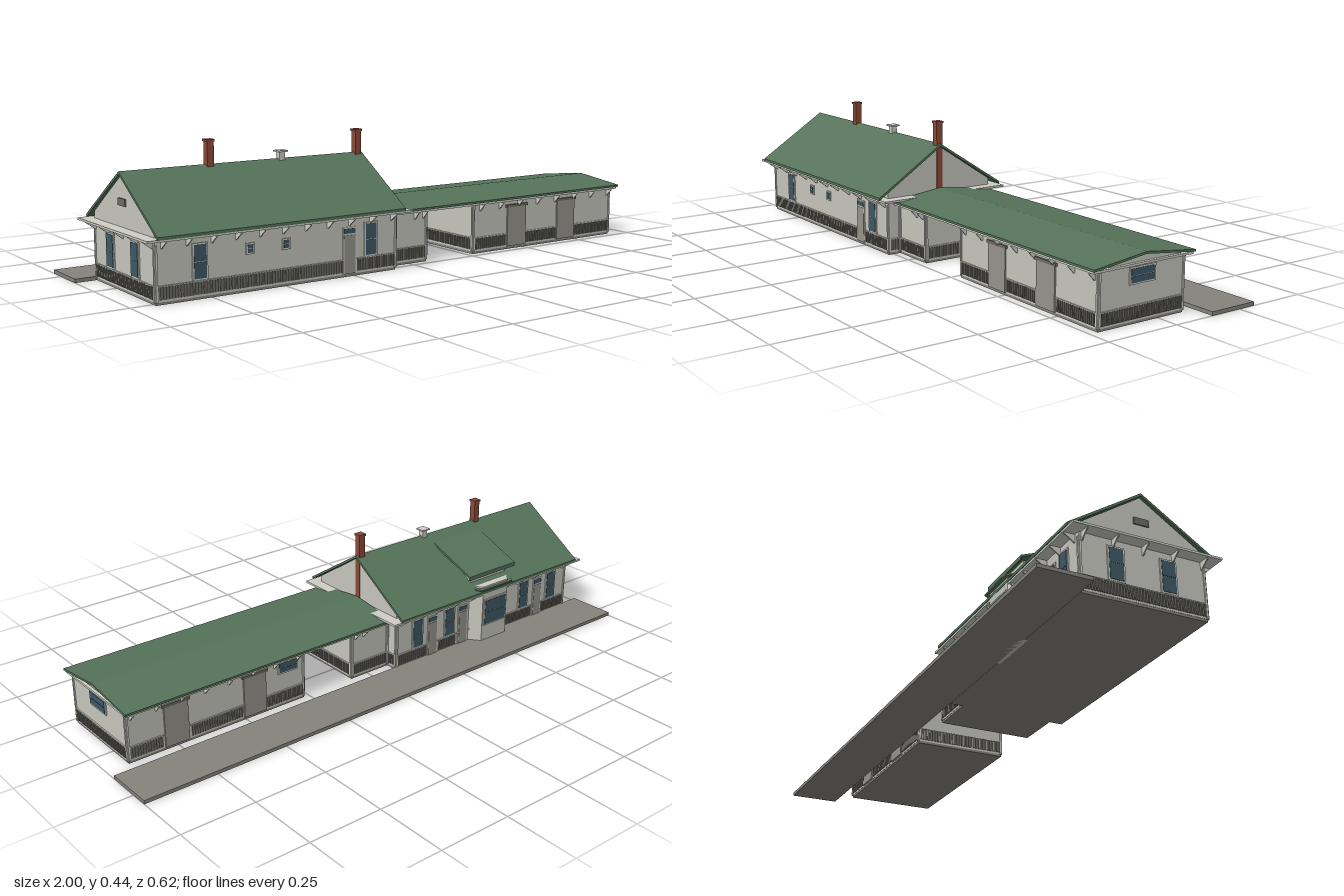
import * as THREE from 'three';
import { mergeGeometries } from 'three/addons/utils/BufferGeometryUtils.js';

const mat = (name, color) => {
  const m = new THREE.MeshStandardMaterial({ color });
  m.name = name;
  return m;
};
const wallMat = mat('wall cream', 0xc6c6bd);
const trimMat = mat('trim cream', 0xcecec6);
const roofMat = mat('roof green', 0x56735a);
const brickMat = mat('brick red', 0x8c4a38);
const stoneMat = mat('platform grey', 0x86837c);
const doorMat = mat('door grey', 0x97948b);
const boardMat = mat('wainscot grey', 0x6c6a63);
const glassMat = mat('glass blue', 0x3e5866);

const RIDGE_Z = 0.065;

function add(parent, name, geometry, material) {
  const m = new THREE.Mesh(geometry, material);
  m.name = name;
  parent.add(m);
  return m;
}

// Box given by its minimum and maximum corners
function boxGeo(x0, x1, y0, y1, z0, z1) {
  return new THREE.BoxGeometry(x1 - x0, y1 - y0, z1 - z0)
    .translate((x0 + x1) / 2, (y0 + y1) / 2, (z0 + z1) / 2);
}

// Profile of [z, y] points swept along x
function sweepX(points, x0, x1) {
  const shape = new THREE.Shape(points.map(([z, y]) => new THREE.Vector2(z, y)));
  return new THREE.ExtrudeGeometry(shape, { depth: x1 - x0, bevelEnabled: false })
    .rotateY(-Math.PI / 2).translate(x1, 0, 0);
}

// Plan of [x, z] points raised along y
function raise(points, y0, y1) {
  const shape = new THREE.Shape(points.map(([x, z]) => new THREE.Vector2(x, -z)));
  return new THREE.ExtrudeGeometry(shape, { depth: y1 - y0, bevelEnabled: false })
    .rotateX(-Math.PI / 2).translate(0, y0, 0);
}

// Solid walls with a gable at both ends
const gableWalls = (half, eave, apex, x0, x1) => sweepX([
  [RIDGE_Z - half, 0.008], [RIDGE_Z + half, 0.008], [RIDGE_Z + half, eave],
  [RIDGE_Z, apex], [RIDGE_Z - half, eave]], x0, x1);

// Two-sided roof sheet with constant vertical thickness
const gableRoof = (half, eave, apex, t, x0, x1) => sweepX([
  [RIDGE_Z + half, eave], [RIDGE_Z, apex], [RIDGE_Z - half, eave],
  [RIDGE_Z - half, eave - t], [RIDGE_Z, apex - t], [RIDGE_Z + half, eave - t]], x0, x1);

// Local frame on a wall: x along it, y up, z outwards
function wallFace(parent, name, x, z, angle) {
  const g = new THREE.Group();
  g.name = name;
  g.position.set(x, 0, z);
  g.rotation.y = angle;
  parent.add(g);
  return g;
}

// Vertical boards along the foot of a wall, interrupted at the gaps
function wainscot(face, x0, x1, gaps = []) {
  const boards = [];
  const n = Math.round((x1 - x0) / 0.0092);
  const step = (x1 - x0) / n;
  for (let i = 0; i < n; i++) {
    const c = x0 + (i + 0.5) * step;
    if (gaps.some(([gx, w]) => Math.abs(c - gx) < w / 2 + 0.003)) continue;
    boards.push(boxGeo(c - step * 0.34, c + step * 0.34, 0.015, 0.053, 0, 0.003));
  }
  add(face, 'wainscotBoards', mergeGeometries(boards), boardMat);
  add(face, 'wainscotRail', boxGeo(x0, x1, 0.053, 0.056, 0, 0.004), trimMat);
  for (const c of [x0, x1]) {
    add(face, 'cornerPost', boxGeo(c - 0.003, c + 0.003, 0.008, 0.172, -0.003, 0.004), trimMat);
  }
}

function windowAt(face, x, w, y0, y1) {
  const g = new THREE.Group();
  g.name = 'window';
  g.position.x = x;
  face.add(g);
  const f = 0.005, mid = (y0 + y1) / 2;
  add(g, 'windowFrame', boxGeo(-w / 2, w / 2, y0, y1, 0, 0.004), trimMat);
  for (const [a, b] of [[y0 + f, mid - 0.001], [mid + 0.001, y1 - f]]) {
    add(g, 'pane', boxGeo(-w / 2 + f, w / 2 - f, a, b, 0.001, 0.0055), glassMat);
  }
}

function doorAt(face, x, w) {
  const g = new THREE.Group();
  g.name = 'door';
  g.position.x = x;
  face.add(g);
  add(g, 'doorFrame', boxGeo(-w / 2, w / 2, 0.01, 0.157, 0, 0.003), trimMat);
  add(g, 'doorLeaf', boxGeo(-w / 2 + 0.004, w / 2 - 0.004, 0.01, 0.132, 0.001, 0.0045), doorMat);
  add(g, 'fanlight', boxGeo(-w / 2 + 0.004, w / 2 - 0.004, 0.137, 0.152, 0.001, 0.0045), glassMat);
}

function slidingDoorAt(face, x, w) {
  add(face, 'slidingDoor', boxGeo(x - w / 2, x + w / 2, 0.01, 0.147, 0, 0.005), doorMat);
  add(face, 'doorRail', boxGeo(x - w / 2 - 0.006, x + w / 2 + 0.006, 0.147, 0.156, 0, 0.007), boardMat);
}

// Row of triangular eave brackets
function brackets(face, x0, x1, n, top, reach) {
  const list = [];
  for (let i = 0; i < n; i++) {
    const x = x0 + (x1 - x0) * i / (n - 1);
    list.push(sweepX([[0, top], [0, top - 0.026], [0.003, top - 0.026], [reach, top - 0.004],
      [reach, top]], x - 0.002, x + 0.002));
  }
  add(face, 'eaveBrackets', mergeGeometries(list), trimMat);
}

function mainHall(root) {
  const g = new THREE.Group();
  g.name = 'mainHall';
  root.add(g);
  add(g, 'plinth', boxGeo(-0.929, -0.091, 0, 0.008, -0.139, 0.269), stoneMat);
  add(g, 'walls', gableWalls(0.205, 0.216, 0.35, -0.93, -0.09), wallMat);
  add(g, 'eaveBoard', boxGeo(-0.97, -0.05, 0.187, 0.194, -0.177, 0.307), trimMat);
  add(g, 'roof', gableRoof(0.245, 0.202, 0.36, 0.009, -0.94, -0.08), roofMat);

  const front = wallFace(g, 'frontFace', 0, 0.27, 0);
  wainscot(front, -0.927, -0.093, [[-0.27, 0.05]]);
  for (const x of [-0.79, -0.19]) windowAt(front, x, 0.05, 0.057, 0.166);
  for (const x of [-0.625, -0.5]) windowAt(front, x, 0.028, 0.113, 0.147);
  doorAt(front, -0.27, 0.05);
  brackets(front, -0.91, -0.11, 11, 0.187, 0.033);

  // Track side, local x runs opposite to world x
  const back = wallFace(g, 'backFace', 0, -0.14, Math.PI);
  const doors = [0.255, 0.4, 0.78];
  wainscot(back, 0.093, 0.927, [...doors.map(x => [x, 0.05]), [0.52, 0.18]]);
  for (const x of [0.185, 0.335, 0.705, 0.85]) windowAt(back, x, 0.05, 0.057, 0.166);
  for (const x of doors) doorAt(back, x, 0.045);
  brackets(back, 0.11, 0.91, 11, 0.187, 0.033);

  const left = wallFace(g, 'farEndFace', -0.93, 0, -Math.PI / 2);
  wainscot(left, -0.137, 0.267);
  for (const z of [-0.025, 0.145]) windowAt(left, z, 0.055, 0.057, 0.166);
  add(left, 'gableVent', boxGeo(0.04, 0.09, 0.258, 0.28, 0, 0.004), boardMat);
  brackets(left, -0.13, 0.26, 5, 0.187, 0.033);

  const right = wallFace(g, 'nearEndFace', -0.09, 0, Math.PI / 2);
  wainscot(right, -0.267, -0.228);
  wainscot(right, 0.098, 0.137);

  // Chimneys and ridge vent
  for (const x of [-0.645, -0.1]) {
    const c = new THREE.Group();
    c.name = 'chimney';
    c.position.set(x, 0, RIDGE_Z);
    g.add(c);
    add(c, 'stack', boxGeo(-0.011, 0.012, 0.195, 0.43, -0.0115, 0.0115), brickMat);
    add(c, 'cap', boxGeo(-0.014, 0.014, 0.429, 0.436, -0.014, 0.014), brickMat);
  }
  add(g, 'ventStem', boxGeo(-0.4, -0.38, 0.345, 0.381, 0.055, 0.075), trimMat);
  add(g, 'ventCap', boxGeo(-0.407, -0.373, 0.38, 0.385, 0.048, 0.082), trimMat);
}

function bayAndDormer(root) {
  const g = new THREE.Group();
  g.name = 'bayAndDormer';
  root.add(g);
  const plan = (s, z) => [[-0.52 - s, -0.13], [-0.52 - s, -0.14], [-0.52 - s + 0.03, z],
    [-0.52 + s - 0.03, z], [-0.52 + s, -0.14], [-0.52 + s, -0.13]];
  add(g, 'bayWalls', raise(plan(0.09, -0.178), 0, 0.21), wallMat);
  add(g, 'bayRoof', raise(plan(0.103, -0.188), 0.209, 0.214), roofMat);
  add(g, 'bayCap', raise(plan(0.09, -0.178), 0.214, 0.22), trimMat);
  const face = wallFace(g, 'bayFace', 0, -0.178, Math.PI);
  windowAt(face, 0.52, 0.11, 0.07, 0.17);
  add(g, 'dormerWalls', boxGeo(-0.605, -0.435, 0.2, 0.264, -0.137, -0.1), wallMat);
  add(g, 'dormerRoof', sweepX([[0.03, 0.337], [-0.159, 0.264], [-0.159, 0.25],
    [-0.156, 0.25], [-0.156, 0.258], [0.03, 0.329]], -0.632, -0.41), roofMat);
}

function lowWing(root) {
  const g = new THREE.Group();
  g.name = 'lowWing';
  root.add(g);
  add(g, 'roof', gableRoof(0.19, 0.185, 0.208, 0.007, -0.085, 0.94), roofMat);
  add(g, 'eaveBoard', boxGeo(-0.085, 0.935, 0.171, 0.178, -0.12, 0.25), trimMat);

  // Two rooms either side of the open passage
  for (const [x0, x1] of [[-0.1, 0.07], [0.27, 0.925]]) {
    add(g, 'plinth', boxGeo(x0, x1 - 0.001, 0, 0.008, -0.094, 0.224), stoneMat);
    add(g, 'walls', gableWalls(0.16, 0.177, 0.2, x0, x1), wallMat);
  }
  const front = wallFace(g, 'frontFace', 0, 0.225, 0);
  wainscot(front, -0.085, 0.067);
  wainscot(front, 0.273, 0.922, [[0.465, 0.085], [0.7, 0.085]]);
  for (const x of [0.465, 0.7]) slidingDoorAt(front, x, 0.085);

  const back = wallFace(g, 'backFace', 0, -0.095, Math.PI);
  wainscot(back, -0.067, 0.085);
  wainscot(back, -0.922, -0.273, [[-0.755, 0.09], [-0.465, 0.085]]);
  for (const x of [-0.755, -0.465]) slidingDoorAt(back, x, 0.085);
  windowAt(back, -0.335, 0.08, 0.117, 0.16);
  for (const f of [front, back]) {
    const s = f === front ? 1 : -1;
    brackets(f, 0.02 * s, 0.055 * s, 2, 0.171, 0.024);
    brackets(f, 0.3 * s, 0.91 * s, 8, 0.171, 0.024);
  }

  const end = wallFace(g, 'endFace', 0.925, 0, Math.PI / 2);
  wainscot(end, -0.222, 0.092);
  windowAt(end, -0.066, 0.097, 0.116, 0.167);
  const passageRight = wallFace(g, 'passageFace', 0.07, 0, Math.PI / 2);
  wainscot(passageRight, -0.222, 0.092);
  const passageLeft = wallFace(g, 'passageFace', 0.27, 0, -Math.PI / 2);
  wainscot(passageLeft, -0.092, 0.222);
}

export function createModel() {
  const root = new THREE.Group();
  root.name = 'railwayStation';
  add(root, 'platform', boxGeo(-1, 1, 0, 0.012, -0.31, -0.14), stoneMat);
  mainHall(root);
  bayAndDormer(root);
  lowWing(root);
  return root;
}
